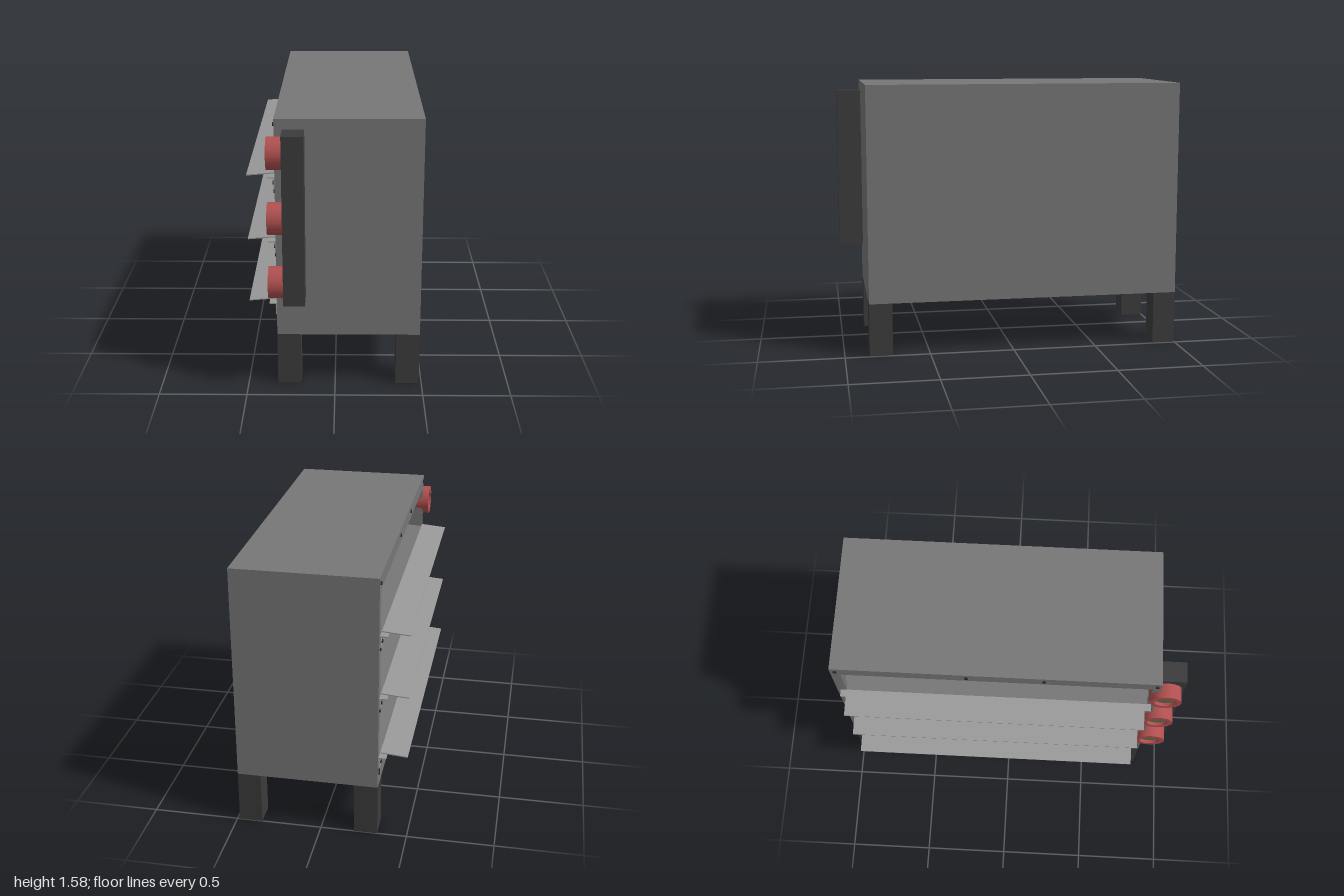
import * as THREE from 'three';

const mat = (color) => new THREE.MeshStandardMaterial({ color });

export function createModel() {
  const model = new THREE.Group();
  const bodyMat = mat(0x777777), dark = mat(0x3c3c3c), flapMat = mat(0x999999);
  const red = mat(0xb05050), lensMat = mat(0x6b6b4c), brown = mat(0x7a5030), bolt = mat(0x2c2c2c);

  const add = (name, geometry, material, parent = model) => {
    const mesh = new THREE.Mesh(geometry, material);
    mesh.name = name;
    parent.add(mesh);
    return mesh;
  };
  // box given by its limits on each axis
  const box = (name, [x0, x1], [y0, y1], [z0, z1], material, parent) => {
    const mesh = add(name, new THREE.BoxGeometry(x1 - x0, y1 - y0, z1 - z0), material, parent);
    mesh.position.set((x0 + x1) / 2, (y0 + y1) / 2, (z0 + z1) / 2);
    return mesh;
  };
  const screw = (x, y, z, parent) => {
    const mesh = add('screw', new THREE.CylinderGeometry(0.011, 0.011, 0.01, 12), bolt, parent);
    mesh.rotation.z = Math.PI / 2;
    mesh.position.set(x, y, z);
  };

  const X0 = -0.33, X1 = 0.485, Y0 = 0.31, Y1 = 1.58, Z0 = -1, Z1 = 0.855, T = 0.04;
  const floors = [0.49, 0.865, 1.24];

  // cabinet shell, open towards -x
  const cabinet = new THREE.Group();
  cabinet.name = 'cabinet';
  model.add(cabinet);
  const inX = [X0 + T, X1 - T];
  box('topPanel', inX, [Y1 - T, Y1], [Z0, Z1], bodyMat, cabinet);
  box('bottomPanel', inX, [Y0, Y0 + T], [Z0, Z1], bodyMat, cabinet);
  box('frontPanel', inX, [Y0 + T, Y1 - T], [Z1 - T, Z1], bodyMat, cabinet);
  box('backPanel', inX, [Y0 + T, Y1 - T], [Z0, Z0 + T], bodyMat, cabinet);
  box('sidePanel', [X1 - T, X1], [Y0, Y1], [Z0, Z1], bodyMat, cabinet);

  // face frame around the compartments, drawn in (z, y)
  const rect = (Type, z0, z1, y0, y1) => new Type([
    new THREE.Vector2(z0, y0), new THREE.Vector2(z1, y0),
    new THREE.Vector2(z1, y1), new THREE.Vector2(z0, y1)]);
  const face = rect(THREE.Shape, Z0, Z1, Y0, Y1);
  floors.forEach((y, i) => {
    const top = i < 2 ? floors[i + 1] - 0.08 : Y1 - 0.08;
    face.holes.push(rect(THREE.Path, Z0 + 0.055, Z1 - 0.045, y, top));
  });
  const frame = add('faceFrame', new THREE.ExtrudeGeometry(face, { depth: T, bevelEnabled: false }), bodyMat, cabinet);
  frame.rotation.y = -Math.PI / 2;
  frame.position.x = X0 + T;

  // screws around the frame
  for (const z of [Z0 + 0.03, -0.235, 0.2, Z1 - 0.025]) screw(X0 - 0.002, 1.545, z, cabinet);
  for (const z of [Z0 + 0.03, Z1 - 0.025]) screw(X0 - 0.002, 0.39, z, cabinet);

  // shelves, each with a hinged flap
  floors.forEach((y) => {
    box('shelf', inX, [y - 0.03, y], [Z0 + T, Z1 - T], bodyMat, cabinet);
    const unit = new THREE.Group();
    unit.name = 'flapUnit';
    model.add(unit);
    const flap = add('flap', new THREE.BoxGeometry(0.155, 0.006, 1.735), flapMat, unit);
    flap.position.set(-0.4125, y + 0.01, -0.0775);
    flap.rotation.z = 0.085;
    box('handle', [-0.472, -0.45], [y - 0.035, y + 0.006], [-0.165, 0.01], brown, unit);
    for (const z of [[-0.98, -0.82], [0.67, 0.83]]) {
      box('hingeLeaf', [-0.373, X0], [y - 0.003, y + 0.004], z, flapMat, unit);
      box('hingePlate', [-0.337, X0], [y - 0.065, y - 0.003], z, flapMat, unit);
      for (const dz of [0.03, 0.13]) screw(-0.338, y - 0.035, z[0] + dz, unit);
    }
    for (const z of [Z0 + 0.03, Z1 - 0.025]) screw(X0 - 0.002, y - 0.075, z, unit);
  });

  // legs
  for (const x of [[X0, -0.195], [0.35, X1]])
    for (const z of [[Z0, -0.865], [0.72, Z1]]) box('leg', x, [0, Y0], z, dark);

  // lamp bar with three round lamps facing -x
  box('lampBar', [-0.285, -0.165], [0.55, 1.52], [Z1, 1], dark);
  const profile = [[0, 0], [0.09, 0], [0.09, 0], [0.09, 0.085], [0.09, 0.085], [0.062, 0.085],
    [0.062, 0.085], [0.062, 0.06]].map(([r, h]) => new THREE.Vector2(r, h));
  for (const y of [0.65, 1.027, 1.4]) {
    const lamp = new THREE.Group();
    lamp.name = 'lamp';
    add('lampHousing', new THREE.LatheGeometry(profile, 32), red, lamp).material.side = THREE.DoubleSide;
    add('lens', new THREE.CylinderGeometry(0.062, 0.062, 0.06, 32), lensMat, lamp).position.y = 0.035;
    lamp.rotation.z = Math.PI / 2;
    lamp.position.set(-0.285, y, 0.893);
    model.add(lamp);
  }
  return model;
}
